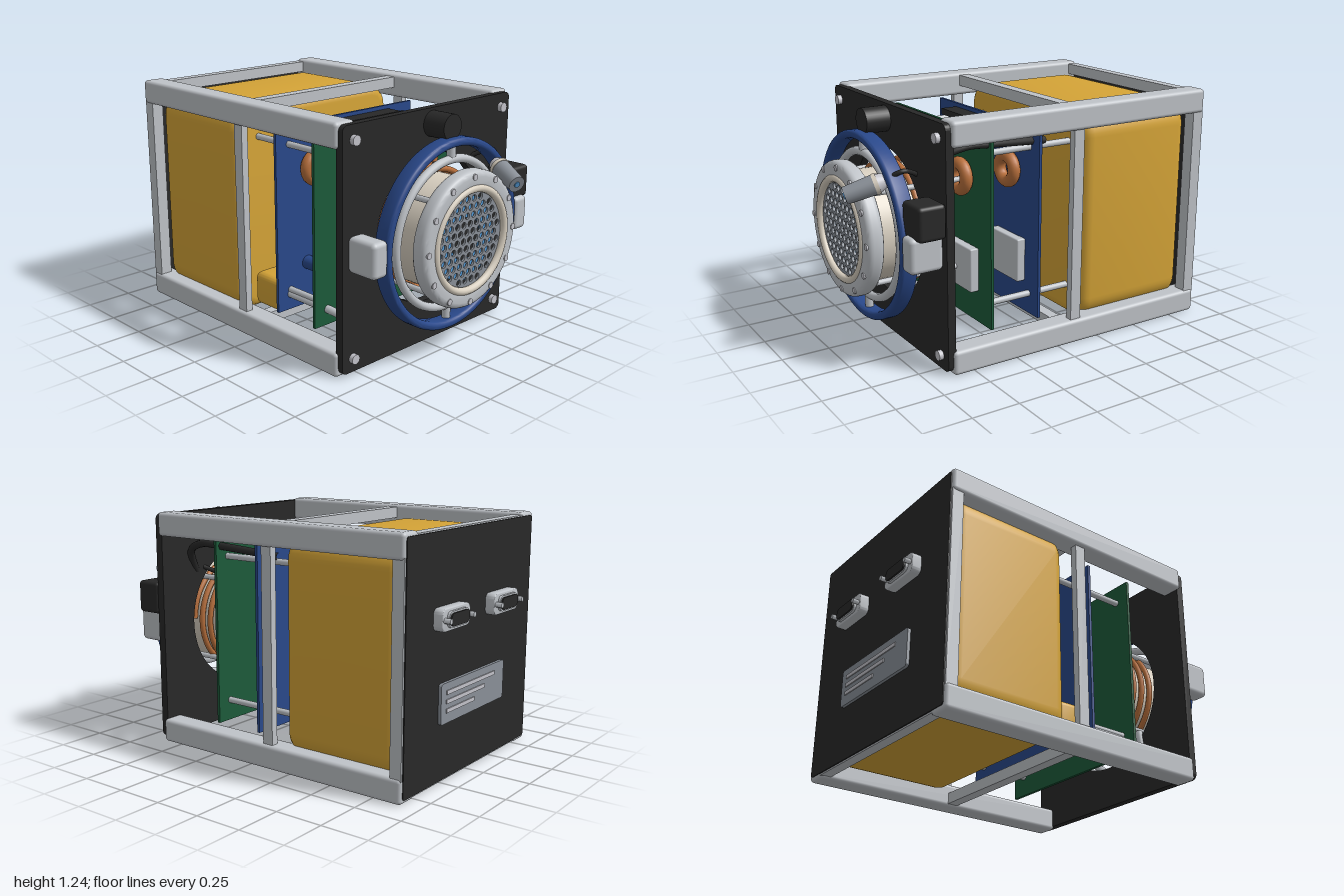
import * as THREE from 'three';
import { toCreasedNormals } from 'three/addons/utils/BufferGeometryUtils.js';
import { RoundedBoxGeometry } from 'three/addons/geometries/RoundedBoxGeometry.js';

const mat = (name, color) => Object.assign(new THREE.MeshStandardMaterial({ color }), { name });
const V = (x, y, z) => new THREE.Vector3(x, y, z);

export function createModel() {
  const black = mat('black', 0x282828), aluminium = mat('aluminium', 0xbfc3c8), gold = mat('gold foil', 0xd5a437);
  const green = mat('board green', 0x1c5a3a), blue = mat('deep blue', 0x29488a), glass = mat('light blue', 0x559bd8);
  const copper = mat('copper', 0xb9703c), cream = mat('cream', 0xd9d0c1), grey = mat('grey', 0x8a9098);
  const bright = mat('bright metal', 0xc3c3ca);
  const root = new THREE.Group();
  const CY = 0.626; // height of the instrument axis

  const add = (name, geo, m, x = 0, y = 0, z = 0, parent = root) => {
    const mesh = new THREE.Mesh(geo, m);
    mesh.name = name;
    mesh.position.set(x, y, z);
    parent.add(mesh);
    return mesh;
  };
  const box = (name, m, w, h, d, x, y, z, r = 0) =>
    add(name, r ? new RoundedBoxGeometry(w, h, d, 3, r) : new THREE.BoxGeometry(w, h, d), m, x, y, z);
  // cylinder along z from z0 to z1
  const rod = (name, m, r, x, y, z0, z1, sides = 20) =>
    add(name, new THREE.CylinderGeometry(r, r, z1 - z0, sides).rotateX(Math.PI / 2), m, x, y, (z0 + z1) / 2);
  // outline extruded from z0 to z1 with bevelled edges kept inside the outline
  const slab = (name, m, shape, x, y, z0, z1, bevel = 0, curveSegments = 24) => {
    const geo = new THREE.ExtrudeGeometry(shape, {
      depth: z1 - z0 - 2 * bevel, curveSegments, bevelEnabled: bevel > 0,
      bevelSize: bevel, bevelThickness: bevel, bevelOffset: -bevel, bevelSegments: 4,
    });
    return add(name, toCreasedNormals(geo, 0.6), m, x, y, z0 + bevel);
  };
  const tube = (name, m, pts, r, segs = 48) =>
    add(name, new THREE.TubeGeometry(new THREE.CatmullRomCurve3(pts), segs, r, 10), m);
  const circle = (r, x = 0, y = 0, P = THREE.Path) => new P().absarc(x, y, r, 0, Math.PI * 2, false);
  const ringShape = (R, r) => {
    const s = circle(R, 0, 0, THREE.Shape);
    s.holes.push(circle(r));
    return s;
  };
  const roundRect = (w, h, r) => {
    const s = new THREE.Shape(), a = w / 2 - r, b = h / 2 - r;
    s.absarc(a, b, r, 0, Math.PI / 2);
    s.absarc(-a, b, r, Math.PI / 2, Math.PI);
    s.absarc(-a, -b, r, Math.PI, Math.PI * 1.5);
    s.absarc(a, -b, r, Math.PI * 1.5, Math.PI * 2);
    s.closePath();
    return s;
  };

  // Frame: four long rails, rear and middle cross bars and posts
  for (const s of [-1, 1]) {
    for (const y of [0.065, 1.185]) box('frameRail', aluminium, 0.122, 0.125, 1.525, s * 0.56, y, -0.1475, 0.02);
    box('rearPost', aluminium, 0.065, 1.02, 0.063, s * 0.58, 0.625, -0.8765);
    box('middlePost', aluminium, 0.038, 1.02, 0.06, s * 0.583, 0.625, -0.11);
  }
  for (const y of [0.045, 1.205]) {
    box('rearBar', aluminium, 1.02, 0.06, 0.056, 0, y, -0.88);
    box('middleBar', aluminium, 1.02, 0.06, 0.06, 0, y, -0.11);
  }

  // Foil-wrapped tank filling the frame, and small canister
  slab('tank', gold, roundRect(1.115, 1.11, 0.125), 0, 0.627, -0.845, -0.185, 0.055, 5);
  slab('canister', gold, roundRect(0.17, 0.18, 0.035), -0.395, 0.21, -0.155, 0.035, 0.025, 6);

  // Front panel with round opening, screws, knob and switch box
  const panel = roundRect(1.21, 1.215, 0.03);
  panel.holes.push(circle(0.385));
  slab('frontPanel', black, panel, 0, 0.628, 0.6, 0.642, 0, 40);
  for (const x of [-0.535, 0.535]) for (const y of [0.092, 1.163]) rod('panelScrew', bright, 0.025, x, y, 0.64, 0.665);
  rod('knob', black, 0.065, 0, 1.157, 0.64, 0.77, 32);
  box('switchBox', black, 0.17, 0.17, 0.145, 0.525, 0.785, 0.715, 0.02);

  // Guard ring with inner ring, spokes and side brackets
  slab('guardRing', blue, ringShape(0.484, 0.442), 0, CY, 0.72, 0.812, 0.018, 48);
  add('innerRing', new THREE.TorusGeometry(0.375, 0.022, 12, 80), aluminium, 0, CY, 0.765);
  for (const s of [-1, 1]) {
    add('ringSpoke', new THREE.CylinderGeometry(0.022, 0.022, 0.07, 16), aluminium, 0, CY + s * 0.42, 0.765);
    box('sideBracket', aluminium, 0.098, 0.178, 0.175, s * 0.525, 0.627, 0.727, 0.025);
  }

  // Instrument drum with its cooling coil and standoffs
  rod('drum', cream, 0.285, 0, CY, 0.42, 0.84, 64);
  const coil = [];
  for (let i = 0; i <= 72; i++) {
    const a = i * Math.PI / 12;
    coil.push(V(0.305 * Math.cos(a), CY + 0.305 * Math.sin(a), 0.675 - i * 0.0025));
  }
  tube('coolingCoil', copper, coil, 0.016, 216);
  for (const x of [-0.23, 0.23]) for (const y of [0.4, 0.856]) rod('standoff', aluminium, 0.015, x, y, 0.32, 0.85, 12);

  // Face cover, twelve bolts and the perforated grille
  slab('faceCover', aluminium, ringShape(0.345, 0.25), 0, CY, 0.825, 0.915, 0.03, 48);
  add('grilleRim', new THREE.TorusGeometry(0.256, 0.02, 12, 72), cream, 0, CY, 0.905);
  for (let i = 0; i < 12; i++) {
    const a = i * Math.PI / 6;
    rod('coverBolt', bright, 0.016, 0.315 * Math.cos(a), CY + 0.315 * Math.sin(a), 0.895, 0.919, 14);
  }
  const grille = circle(0.25, 0, 0, THREE.Shape);
  for (let j = -6; j <= 6; j++) for (let i = -6; i <= 6; i++) {
    const x = (i + (j % 2 ? 0.5 : 0)) * 0.0467, y = j * 0.041;
    if (Math.hypot(x, y) < 0.222) grille.holes.push(circle(0.0165, x, y));
  }
  slab('grille', grey, grille, 0, CY, 0.885, 0.897, 0, 6);
  rod('grilleBacking', black, 0.25, 0, CY, 0.84, 0.868, 48);
  slab('sensorRing', glass, ringShape(0.212, 0.108), 0, CY, 0.866, 0.874, 0, 32);

  // Tilted probe with its wire running through the panel opening
  const probe = new THREE.Group();
  probe.name = 'probe';
  probe.position.set(0.272, 0.9, 0.895);
  probe.quaternion.setFromUnitVectors(V(0, 0, 1), V(-0.065, -0.065, 0.19).normalize());
  root.add(probe);
  const probePart = (name, m, r0, r1, len, z) =>
    add(name, new THREE.CylinderGeometry(r1, r0, len, 24).rotateX(Math.PI / 2), m, 0, 0, z, probe);
  probePart('probeBody', grey, 0.05, 0.043, 0.15, 0.02);
  probePart('probeCollar', cream, 0.052, 0.052, 0.02, -0.06);
  probePart('probeTail', bright, 0.035, 0.048, 0.035, -0.087);
  probePart('probeLens', glass, 0.015, 0.015, 0.006, 0.097);
  tube('probeWire', black, [V(0.31, 0.94, 0.8), V(0.365, 0.982, 0.735), V(0.335, 0.96, 0.67), V(0.29, 0.92, 0.6),
    V(0.23, 0.87, 0.43)], 0.012);

  // Power cable and coolant pipe
  tube('powerCable', black, [V(0.41, 1.045, -0.03), V(0.435, 1.06, 0.12), V(0.455, 1.075, 0.3), V(0.455, 1.08, 0.45),
    V(0.42, 1.03, 0.57), V(0.34, 0.9, 0.62)], 0.02);
  tube('coolantPipe', aluminium, [V(-0.25, 0.38, 0.6), V(-0.28, 0.23, 0.59), V(-0.34, 0.165, 0.53), V(-0.4, 0.205, 0.42),
    V(-0.41, 0.215, 0.3), V(-0.41, 0.215, 0), V(-0.41, 0.215, -0.19)], 0.022);

  // Two circuit boards carrying the same kind of parts
  for (const [name, m, z, dy] of [['greenBoard', green, 0.325, 0], ['blueBoard', blue, 0.045, 0.03]]) {
    box(name, m, 0.99, 0.99, 0.016, 0, 0.625, z);
    box('edgeConnector', black, 0.63, 0.033, 0.095, 0, 1.053 + dy, z + 0.052);
    box('heatSink', aluminium, 0.26, 0.23, 0.05, 0.25, 0.415, z + 0.033, 0.008);
    for (const s of [-1, 1])
      add('inductor', new THREE.TorusGeometry(0.066, 0.033, 14, 36), copper, s * 0.255, 0.88, z + 0.043);
    for (const x of [-0.29, -0.18, -0.07]) rod('capacitor', blue, 0.037, x, 0.362, z, z + 0.11);
  }
  box('processor', black, 0.34, 0.34, 0.014, 0, 0.63, 0.31);
  rod('plugFlange', gold, 0.04, 0.08, 0.632, 0.29, 0.304);
  rod('plugBody', gold, 0.033, 0.08, 0.632, 0.245, 0.295);
  rod('plugTip', gold, 0.025, 0.08, 0.632, 0.19, 0.25);
  for (const x of [-0.41, 0.41]) for (const y of [0.24, 1.02]) rod('boardSpacer', aluminium, 0.017, x, y, -0.2, 0.33, 14);

  // Rear panel set flush with the rail ends, two sockets and a label plate
  slab('rearPanel', black, roundRect(1.205, 1.205, 0.015), 0, 0.626, -0.914, -0.9);
  for (const x of [-0.247, 0.247]) {
    slab('socketFlange', aluminium, roundRect(0.255, 0.11, 0.03), x, 0.826, -0.965, -0.912, 0.006, 8);
    slab('socketShell', aluminium, roundRect(0.18, 0.078, 0.03), x, 0.826, -0.978, -0.96, 0, 8);
    slab('socketInsert', black, roundRect(0.165, 0.062, 0.025), x, 0.826, -0.986, -0.97, 0, 8);
    for (const s of [-1, 1]) rod('socketPost', aluminium, 0.014, x + s * 0.108, 0.826, -1, -0.96, 6);
  }
  slab('labelPlate', grey, roundRect(0.62, 0.2, 0.015), 0, 0.41, -0.93, -0.912);
  [0.47, 0.37, 0.27].forEach((w, i) =>
    box('labelStripe', bright, w, 0.02, 0.008, 0.265 - w / 2, 0.462 - i * 0.045, -0.931));

  return root;
}
